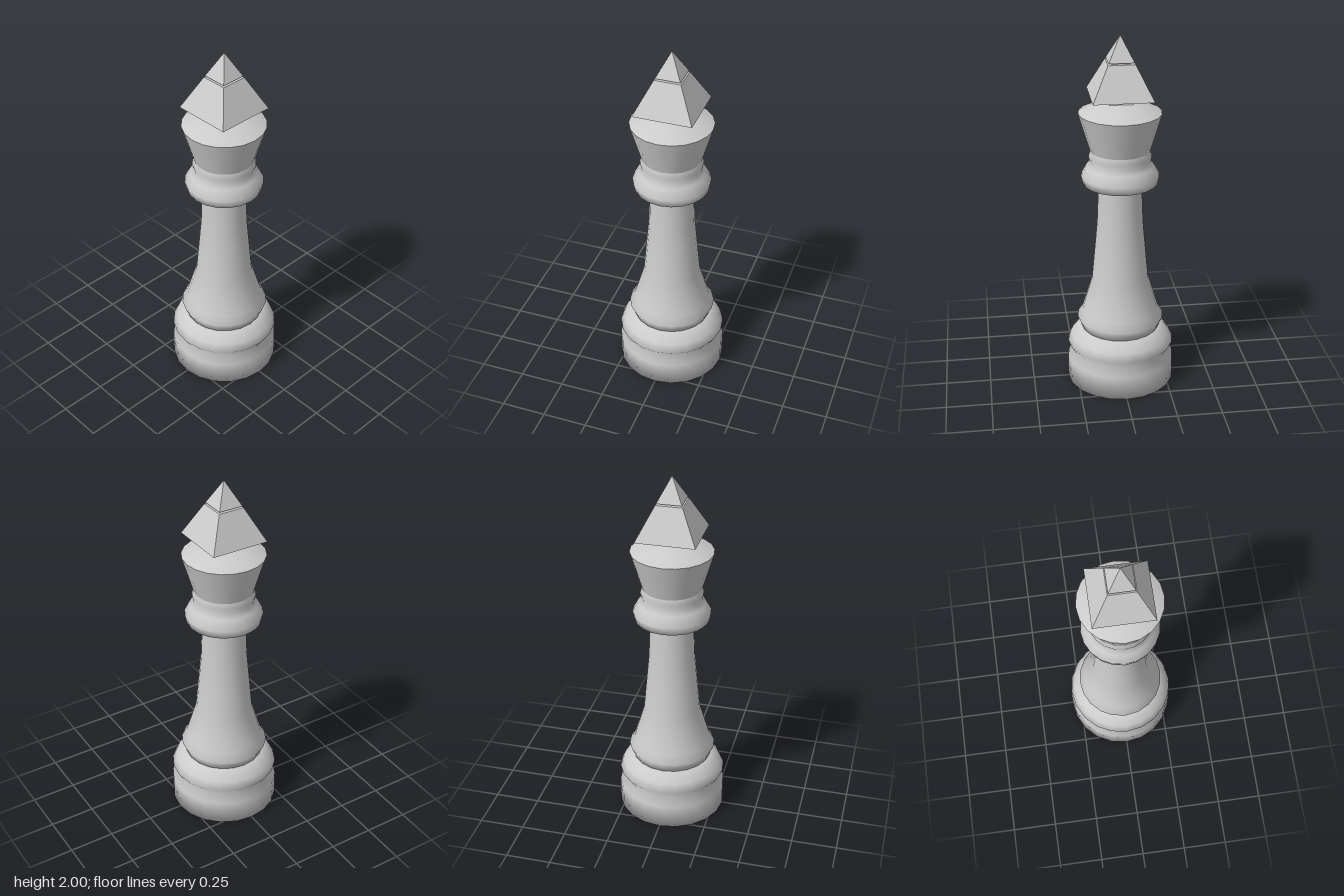
import * as THREE from 'three';

const SIDES = 20;
const smooth = new THREE.MeshStandardMaterial({ color: 0xcccccc });
const faceted = new THREE.MeshStandardMaterial({ color: 0xcccccc, flatShading: true });

// Turned part from [radius, height] pairs, bottom to top
function turned(name, profile) {
  const points = profile.map(([r, y]) => new THREE.Vector2(r, y));
  const mesh = new THREE.Mesh(new THREE.LatheGeometry(points, SIDES), smooth);
  mesh.name = name;
  return mesh;
}

// Square frustum between two heights, given half widths
function frustum(name, y0, half0, y1, half1) {
  const geo = new THREE.CylinderGeometry(half1 * Math.SQRT2, half0 * Math.SQRT2, y1 - y0, 4);
  geo.rotateY(Math.PI / 4).translate(0, (y0 + y1) / 2, 0);
  const mesh = new THREE.Mesh(geo, faceted);
  mesh.name = name;
  return mesh;
}

export function createModel() {
  const group = new THREE.Group();
  group.name = 'chessPiece';

  group.add(
    // Stepped foot with a rounded ring
    turned('base', [
      [0, 0], [0.3, 0], [0.3, 0.135], [0.266, 0.18], [0.298, 0.23],
      [0.277, 0.275], [0.235, 0.325], [0.2, 0.325],
    ]),
    // Flared column rising from its lower bead
    turned('column', [
      [0.2, 0.325], [0.218, 0.326], [0.226, 0.35], [0.242, 0.385], [0.214, 0.43], [0.158, 0.62],
      [0.127, 0.96], [0.119, 1.165], [0.119, 1.18], [0.11, 1.19],
    ]),
    // Collar and neck bead
    turned('collar', [
      [0.1, 1.17], [0.14, 1.175], [0.203, 1.19], [0.212, 1.235], [0.182, 1.288],
      [0.163, 1.31], [0.171, 1.345], [0.162, 1.375],
    ]),
    // Widening crown with a shallow domed top
    turned('crown', [
      [0.162, 1.375], [0.224, 1.585],
    ]),
    turned('crownTop', [
      [0.224, 1.585], [0.105, 1.642], [0, 1.645],
    ]),
    // Split pyramid finial on a short stem
    frustum('finialStem', 1.635, 0.068, 1.69, 0.03),
    frustum('finialPyramid', 1.68, 0.161, 1.859, 0.072),
    frustum('finialLink', 1.855, 0.05, 1.872, 0.05),
    frustum('finialTip', 1.867, 0.068, 2, 0),
  );
  return group;
}
